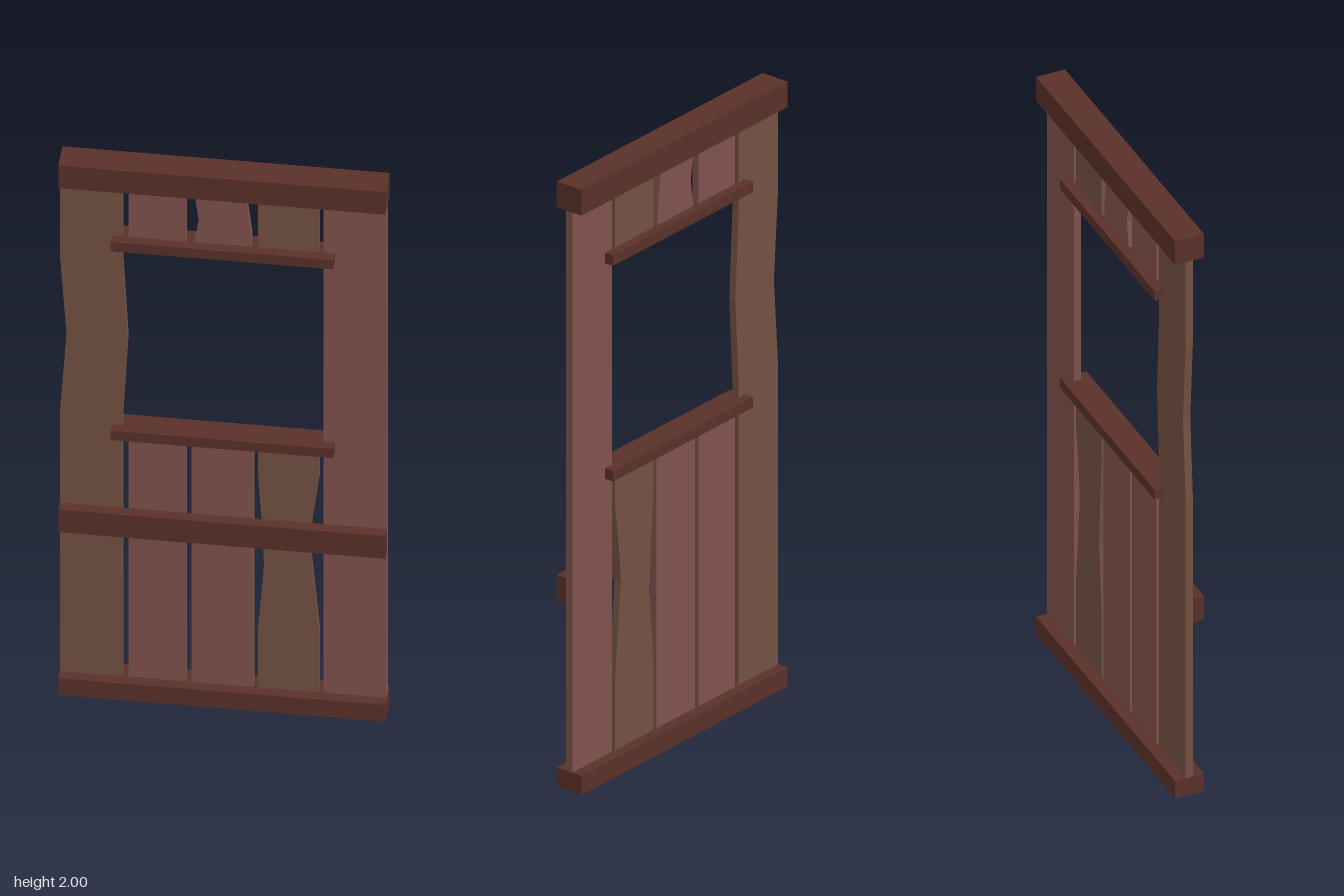
import * as THREE from 'three';

const material = (color) => new THREE.MeshStandardMaterial({ color, flatShading: true });

export function createModel() {
  const model = new THREE.Group();
  const redWood = material(0x80524c);
  const brownWood = material(0x735142);
  const darkWood = material(0x5a302a);
  const plankDepth = 0.024;

  // Horizontal timber given by its x, y and z extents
  function beam(name, halfWidth, y0, y1, z0, z1) {
    const mesh = new THREE.Mesh(new THREE.BoxGeometry(halfWidth * 2, y1 - y0, z1 - z0), darkWood);
    mesh.position.set(0, (y0 + y1) / 2, (z0 + z1) / 2);
    mesh.name = name;
    model.add(mesh);
  }

  // Vertical board; the optional edge points [x, y] (bottom to top) make worn, wavy sides
  function plank(name, wood, x0, x1, y0, y1, leftEdge = [], rightEdge = []) {
    const outline = [[x0, y0], [x1, y0], ...rightEdge, [x1, y1], [x0, y1], ...[...leftEdge].reverse()];
    const shape = new THREE.Shape(outline.map(([x, y]) => new THREE.Vector2(x, y)));
    const geometry = new THREE.ExtrudeGeometry(shape, { depth: plankDepth, bevelEnabled: false });
    geometry.translate(0, 0, -plankDepth / 2);
    const mesh = new THREE.Mesh(geometry, wood);
    mesh.name = name;
    model.add(mesh);
  }

  // Cross beams, front rail and window ledges
  beam('topBeam', 0.495, 1.915, 2, -0.048, 0.048);
  beam('bottomBeam', 0.495, 0, 0.063, -0.048, 0.048);
  beam('frontRail', 0.495, 0.615, 0.7, 0.012, 0.048);
  beam('windowSill', 0.337, 0.977, 1.012, -0.042, 0.045);
  beam('windowLintel', 0.337, 1.69, 1.725, -0.042, 0.045);

  // Full-height side boards
  plank('rightSidePlank', brownWood, -0.494, -0.305, 0.03, 1.95,
    [[-0.494, 1.06], [-0.475, 1.34], [-0.494, 1.62]],
    [[-0.305, 1.06], [-0.29, 1.34], [-0.305, 1.62]]);
  plank('leftSidePlank', redWood, 0.303, 0.494, 0.03, 1.95);

  // Short boards below the window
  plank('lowerPlankRight', redWood, -0.287, -0.113, 0.03, 0.99);
  plank('lowerPlankMiddle', redWood, -0.096, 0.09, 0.03, 0.99);
  plank('lowerPlankLeft', brownWood, 0.105, 0.289, 0.03, 0.99,
    [[0.105, 0.29], [0.123, 0.53], [0.115, 0.7], [0.105, 0.86]],
    [[0.289, 0.29], [0.261, 0.61], [0.267, 0.7], [0.289, 0.87]]);

  // Short boards above the window
  plank('upperPlankRight', redWood, -0.287, -0.113, 1.71, 1.95);
  plank('upperPlankMiddle', redWood, -0.09, 0.066, 1.71, 1.95,
    [[-0.088, 1.73], [-0.075, 1.81], [-0.088, 1.91]],
    [[0.085, 1.72], [0.084, 1.77], [0.067, 1.91]]);
  plank('upperPlankLeft', brownWood, 0.105, 0.289, 1.71, 1.95);

  return model;
}
